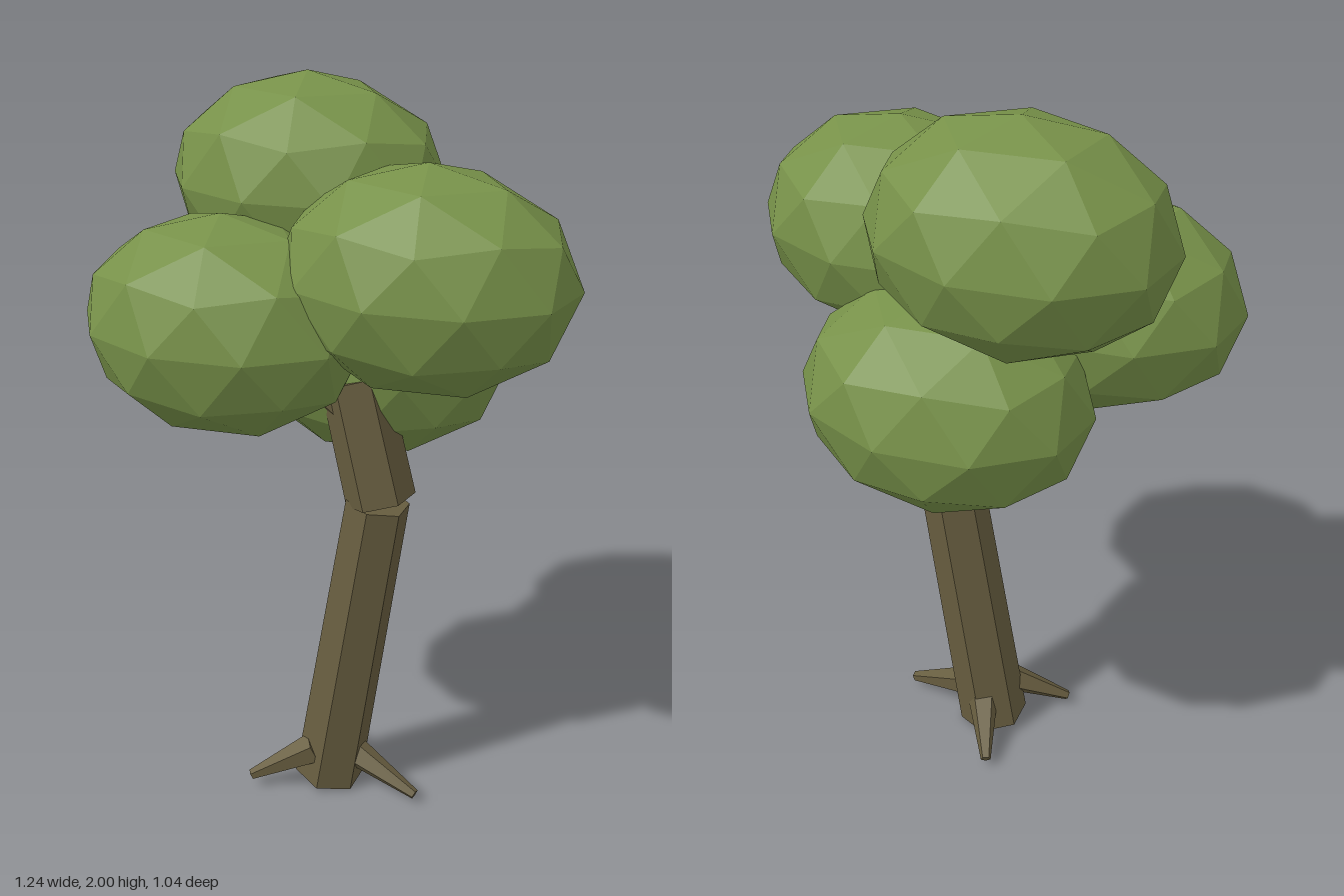
import * as THREE from 'three';

export function createModel() {
  const model = new THREE.Group();
  const leaf = new THREE.MeshStandardMaterial({ color: 0x779149, flatShading: true });
  leaf.name = 'leaf green';
  const bark = new THREE.MeshStandardMaterial({ color: 0x685e40, flatShading: true });
  bark.name = 'bark brown';
  const up = new THREE.Vector3(0, 1, 0);

  // Tapered prism running from one point to another
  function limb(name, from, to, r0, r1, sides, turn = 0) {
    const a = new THREE.Vector3(...from);
    const dir = new THREE.Vector3(...to).sub(a);
    const length = dir.length();
    const geometry = new THREE.CylinderGeometry(r1, r0, length, sides, 1, false, turn);
    const mesh = new THREE.Mesh(geometry, bark);
    mesh.name = name;
    mesh.quaternion.setFromUnitVectors(up, dir.clone().normalize());
    mesh.position.copy(a).addScaledVector(dir, 0.5);
    model.add(mesh);
  }

  // Trunk in two leaning sections
  limb('lowerTrunk', [-0.047, 0.015, 0.04], [0.093, 0.915, 0.008], 0.1, 0.088, 6, 0.175);
  limb('upperTrunk', [0.103, 0.925, 0.01], [0.02, 1.26, 0.015], 0.095, 0.09, 6);

  // Short branches reaching into the foliage
  limb('frontBranch', [0.02, 1.16, 0.02], [-0.16, 1.36, 0.14], 0.05, 0.03, 5);
  limb('backBranch', [0.06, 1.02, 0], [-0.08, 1.2, -0.16], 0.045, 0.03, 5);
  limb('leftBranch', [0.02, 1.2, 0.015], [0.16, 1.5, 0.04], 0.05, 0.03, 5);

  // Three roots spreading from the base
  limb('leftRoot', [0.02, 0.11, 0.03], [0.235, 0.027, 0.03], 0.046, 0.015, 5);
  limb('frontRoot', [-0.065, 0.12, 0.095], [-0.215, 0.035, 0.2], 0.046, 0.015, 5);
  limb('backRoot', [-0.045, 0.115, -0.02], [-0.145, 0.032, -0.165], 0.046, 0.015, 5);

  // Foliage: flattened icospheres with a corner pointing up
  const blob = new THREE.IcosahedronGeometry(1, 1);
  blob.rotateZ(-Math.atan(2 / (1 + Math.sqrt(5))));
  blob.scale(0.39, 0.285, 0.313);
  const clusters = {
    topFoliage: [-0.223, 1.715, -0.16],
    leftFoliage: [0.248, 1.565, 0.05],
    frontFoliage: [-0.248, 1.415, 0.207],
    backFoliage: [-0.05, 1.265, -0.212],
  };
  for (const [name, position] of Object.entries(clusters)) {
    const mesh = new THREE.Mesh(blob, leaf);
    mesh.name = name;
    mesh.position.set(...position);
    model.add(mesh);
  }

  return model;
}
